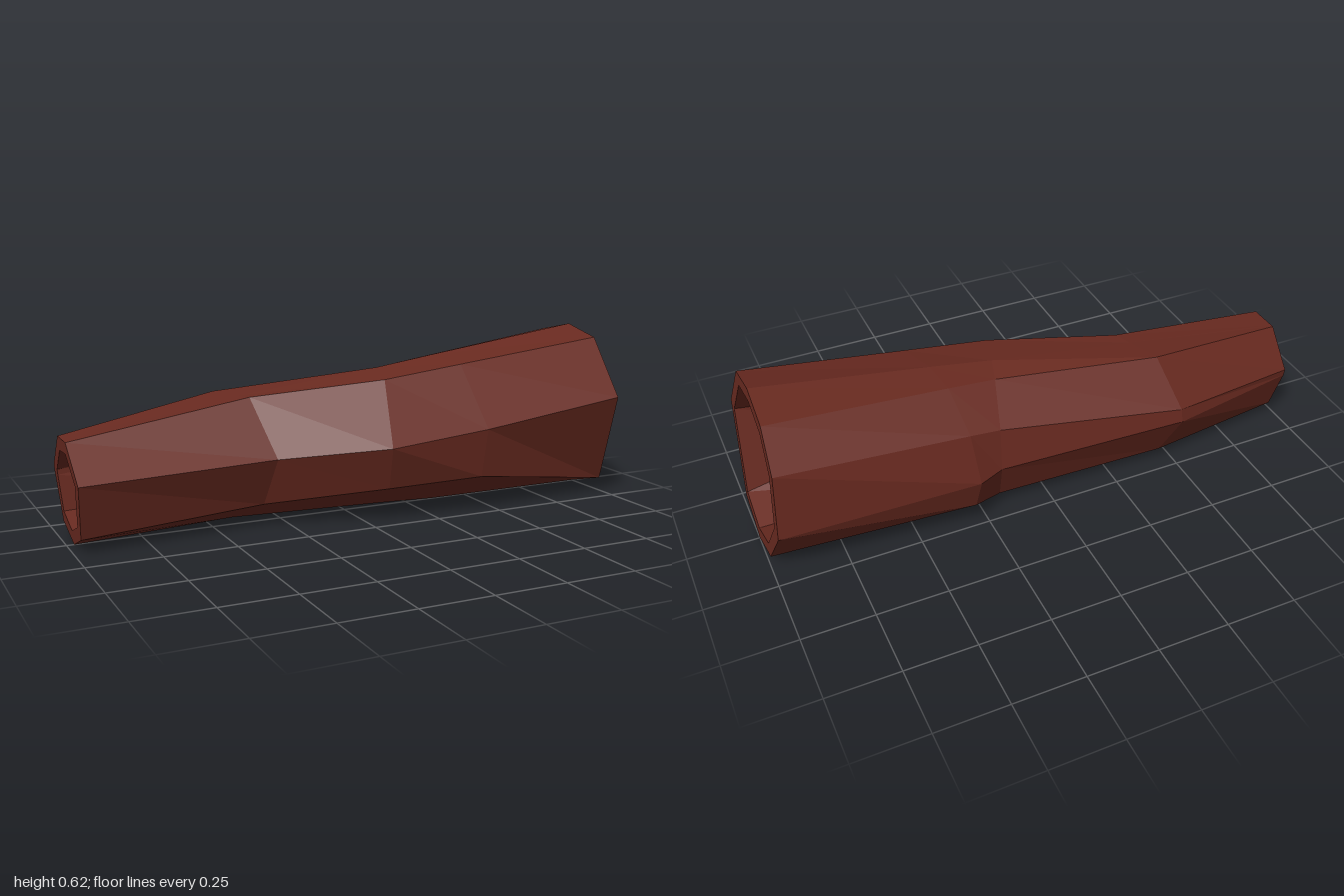
import * as THREE from 'three';

// Cross-sections from the narrow end to the wide end: [z, y] points,
// starting at the top and going round by the front side.
const sections = [
  { x: (y) => -0.975 - 0.07 * y, pts: [[-0.05, 0.355], [0.055, 0.355], [0.172, 0.235], [0.12, 0.05], [0, 0.002], [-0.13, 0.05], [-0.178, 0.21], [-0.18, 0.235], [-0.06, 0.355]] },
  { x: (y, z) => -0.4 + 0.38 * (z + 0.07), pts: [[-0.04, 0.443], [0.02, 0.445], [0.15, 0.25], [0.082, 0.083], [-0.08, 0.002], [-0.2, 0.052], [-0.288, 0.23], [-0.28, 0.28], [-0.16, 0.443]] },
  { x: (y, z) => 0.13 - 0.28 * z, pts: [[-0.022, 0.508], [0.125, 0.488], [0.27, 0.275], [0.215, 0.122], [-0.03, 0.002], [-0.18, 0.05], [-0.25, 0.22], [-0.225, 0.37], [-0.105, 0.49]] },
  { x: (y, z) => 0.36 + 0.25 * z, pts: [[-0.015, 0.541], [0.135, 0.524], [0.275, 0.31], [0.248, 0.135], [0, 0.003], [-0.25, 0.095], [-0.284, 0.215], [-0.23, 0.385], [-0.117, 0.513]] },
  { x: (y) => 1 - 0.07 * y, pts: [[0, 0.627], [0.157, 0.592], [0.295, 0.385], [0.175, 0.052], [0, 0.003], [-0.157, 0.052], [-0.293, 0.24], [-0.27, 0.474], [-0.16, 0.592]] },
];

const WALL = 0.047;
const SIDES = 9;

// Ring of 3D points, pulled toward its centre by the wall thickness
function ring({ x, pts }, inset) {
  const cz = pts.reduce((s, p) => s + p[0], 0) / SIDES;
  const cy = pts.reduce((s, p) => s + p[1], 0) / SIDES;
  return pts.map(([z, y]) => {
    const k = 1 - inset / Math.hypot(z - cz, y - cy);
    const pz = cz + (z - cz) * k;
    const py = cy + (y - cy) * k;
    return [x(py, pz), py, pz];
  });
}

// Band of faces joining two rings
function band(out, a, b) {
  for (let j = 0; j < SIDES; j++) {
    const n = (j + 1) % SIDES;
    out.push(...a[j], ...a[n], ...b[n], ...a[j], ...b[n], ...b[j]);
  }
}

function makeMesh(name, positions, material) {
  const geometry = new THREE.BufferGeometry();
  geometry.setAttribute('position', new THREE.Float32BufferAttribute(positions, 3));
  geometry.computeVertexNormals();
  const mesh = new THREE.Mesh(geometry, material);
  mesh.name = name;
  return mesh;
}

export function createModel() {
  const group = new THREE.Group();
  group.name = 'hollowLog';
  const bark = new THREE.MeshStandardMaterial({ color: 0x692a20 });
  bark.name = 'reddish brown wood';

  const outer = sections.map((s) => ring(s, 0));
  const inner = sections.map((s) => ring(s, WALL));
  const last = sections.length - 1;

  // Outer and inner walls
  const outside = [];
  const inside = [];
  for (let i = 0; i < last; i++) {
    band(outside, outer[i], outer[i + 1]);
    band(inside, inner[i + 1], inner[i]);
  }
  // Cut rims at both ends
  const wideRim = [];
  const narrowRim = [];
  band(wideRim, outer[last], inner[last]);
  band(narrowRim, inner[0], outer[0]);

  group.add(
    makeMesh('outerBark', outside, bark),
    makeMesh('innerHollow', inside, bark),
    makeMesh('wideRim', wideRim, bark),
    makeMesh('narrowRim', narrowRim, bark),
  );
  return group;
}
